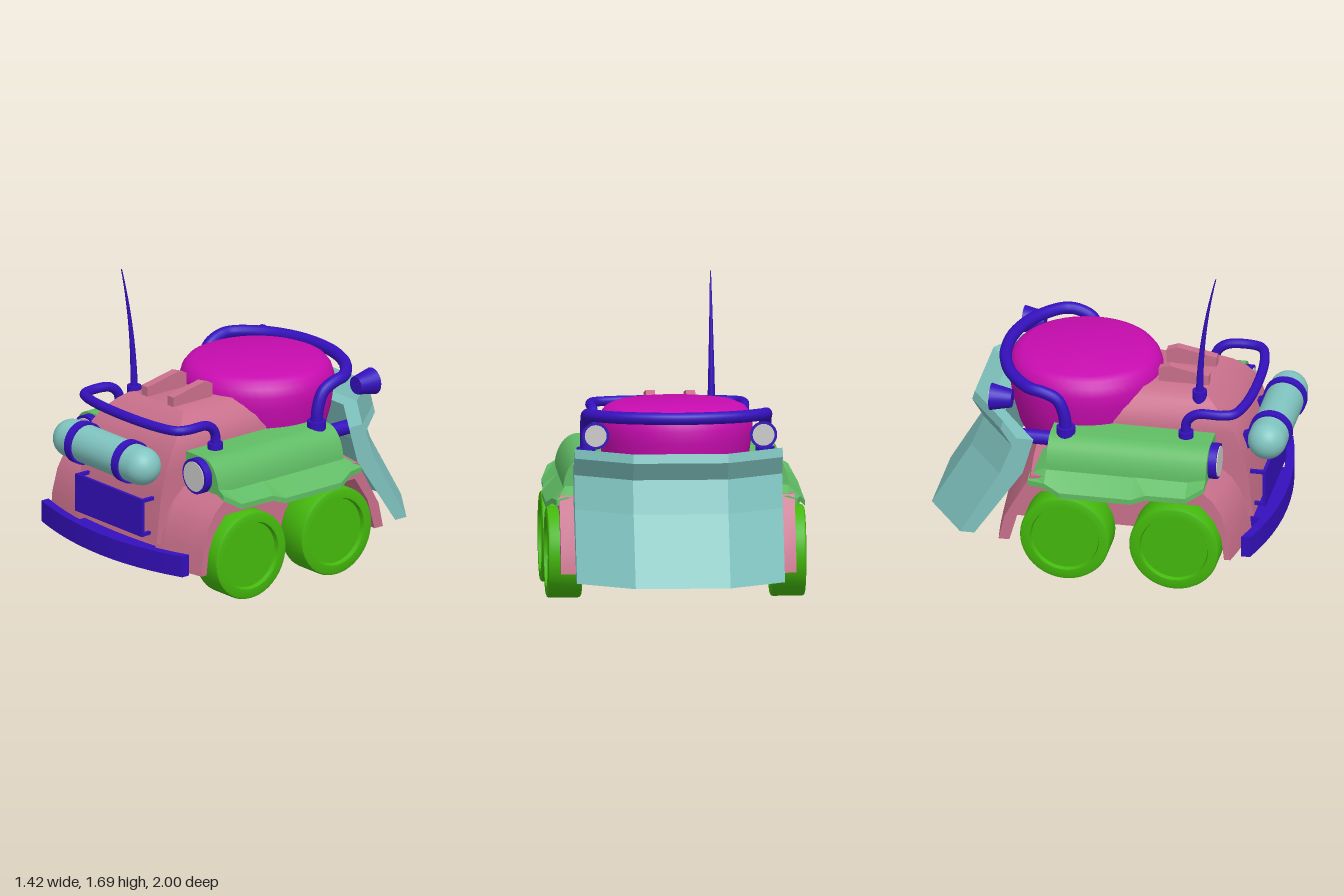
import * as THREE from 'three';
import { toCreasedNormals } from 'three/addons/utils/BufferGeometryUtils.js';

const V = (x, y, z) => new THREE.Vector3(x, y, z);
const mat = (color) => new THREE.MeshStandardMaterial({ color });
const pink = mat(0xc9708c), magenta = mat(0xc80cb0), navy = mat(0x3410bc), green = mat(0x60bc64),
  lime = mat(0x44b80c), cyan = mat(0x80c4c0), grey = mat(0xcccccc);

// moves every vertex by a rule
function warp(geo, rule) {
  const p = geo.attributes.position, v = V(0, 0, 0);
  for (let i = 0; i < p.count; i++) {
    v.fromBufferAttribute(p, i);
    rule(v);
    p.setXYZ(i, v.x, v.y, v.z);
  }
  geo.computeVertexNormals();
  return geo;
}

// side outline given as [z, y], extruded along x between x0 and x1
function sideExtrude(outline, x0, x1, steps = 1) {
  const shape = new THREE.Shape(outline.map(([z, y]) => new THREE.Vector2(z, y)));
  const geo = new THREE.ExtrudeGeometry(shape, { depth: x1 - x0, steps, bevelEnabled: false });
  return geo.rotateY(-Math.PI / 2).translate(x1, 0, 0);
}

// the body's nose and tail curve back towards the sides
function bend(v) {
  const t = (v.x / 0.64) ** 2;
  if (v.z > 0.55) v.z -= 0.065 * t;
  if (v.z < -0.35) v.z += 0.05 * t;
}

export function createModel() {
  const model = new THREE.Group();
  const add = (name, geo, material, x = 0, y = 0, z = 0) => {
    const mesh = new THREE.Mesh(geo, material);
    mesh.name = name;
    mesh.position.set(x, y, z);
    model.add(mesh);
    return mesh;
  };
  const crease = (geo, angle = 0.6) => toCreasedNormals(geo, angle);
  const box = (w, h, d) => new THREE.BoxGeometry(w, h, d);
  const cyl = (r0, r1, h, n = 32) => new THREE.CylinderGeometry(r0, r1, h, n);

  // lower hull: nose curves back to the side pods
  const nose = [[0.81, 0.18], [0.795, 0.33], [0.76, 0.45], [0.71, 0.53], [0.64, 0.59]];
  const tail = [[-0.42, 0.59], [-0.47, 0.5], [-0.57, 0.32], [-0.6, 0.18]];
  add('hull', crease(warp(sideExtrude([...nose, ...tail], -0.36, 0.36, 8), bend)), pink);

  // hood: a box whose rows follow [y, half width, front z]
  const rows = [[0.3, 0.34, 0.812], [0.56, 0.34, 0.78], [0.68, 0.34, 0.75], [0.81, 0.34, 0.705],
    [0.88, 0.315, 0.64], [0.935, 0.27, 0.575], [0.975, 0.22, 0.52]];
  const hood = warp(new THREE.BoxGeometry(2, 6, 2, 1, 6, 1), (v) => {
    const [y, w, front] = rows[Math.round(v.y + 3)];
    v.set(v.x * w, y, v.z > 0 ? front : -0.15);
  });
  add('hood', crease(hood, 0.75), pink);

  // dome
  const domeProfile = [[0, 0.53], [0.3, 0.53], [0.365, 0.65], [0.405, 0.8], [0.42, 0.9], [0.425, 0.97],
    [0.41, 1.02], [0.385, 1.052], [0.345, 1.07], [0, 1.072]].map(([r, y]) => new THREE.Vector2(r, y));
  add('dome', crease(new THREE.LatheGeometry(domeProfile, 48), 0.9), magenta, 0, 0, -0.19);

  // grille plate
  add('grillePlate', box(0.57, 0.215, 0.018), navy, 0, 0.447, 0.86);
  // bowed bumper
  const bumper = warp(new THREE.BoxGeometry(1.2, 0.12, 0.05, 12, 1, 1), (v) => {
    const t = (v.x / 0.6) ** 2;
    v.z += 0.905 - 0.085 * t;
    v.y += 0.235 + 0.012 * t;
  });
  add('bumper', crease(bumper), navy);
  add('bumperMount', box(0.6, 0.08, 0.12), navy, 0, 0.235, 0.84);

  // tank
  add('tank', new THREE.CapsuleGeometry(0.107, 0.59, 12, 32).rotateZ(Math.PI / 2), cyan, 0, 0.76, 0.88);

  // antenna: a tapered, curved whip
  const whip = new THREE.CylinderGeometry(0.003, 0.022, 0.74, 12, 14).translate(0, 0.37, 0);
  add('antenna', warp(whip, (v) => { v.z += 0.09 * (v.y / 0.74) ** 2; }), navy, -0.235, 0.95, 0.49);
  add('antennaBase', cyl(0.04, 0.04, 0.07, 20), navy, -0.235, 0.96, 0.49);

  // front and rear bars: half a path, mirrored into a full one
  const bar = (name, half, radius) => {
    const path = [...half, ...half.slice(0, -1).reverse().map((p) => V(-p.x, p.y, p.z))];
    add(name, new THREE.TubeGeometry(new THREE.CatmullRomCurve3(path), 90, radius, 14), navy);
  };
  bar('frontBar', [V(0.41, 0.78, 0.45), V(0.41, 0.89, 0.455), V(0.415, 0.94, 0.51), V(0.42, 0.95, 0.65),
    V(0.395, 0.95, 0.71), V(0.28, 0.95, 0.75), V(0, 0.95, 0.77)], 0.027);
  bar('rollBar', [V(0.49, 0.78, -0.205), V(0.49, 0.9, -0.215), V(0.49, 0.99, -0.255), V(0.49, 1.03, -0.34),
    V(0.475, 1.037, -0.41), V(0.34, 1.042, -0.535), V(0.17, 1.045, -0.605), V(0, 1.045, -0.625)], 0.034);

  // rear shield: thick bent plate, middle facet pushed back
  const shield = warp(sideExtrude([[-0.37, 0.77], [-0.465, 0.77], [-0.54, 0.87], [-0.555, 0.82], [-0.49, 0.72],
    [-0.56, 0.54], [-0.78, 0.16], [-0.7, 0.16], [-0.43, 0.56]], -0.57, 0.57, 3), (v) => {
    if (Math.abs(v.x) < 0.4) {
      v.x = Math.sign(v.x) * 0.26;
      v.z -= 0.22;
    }
  });
  add('shield', crease(shield, 0.1), cyan);

  // skirt stations: [z, outer x, outer bottom y, top y]
  const stations = [[-0.385, 0.66, 0.535, 0.58], [-0.29, 0.68, 0.535, 0.63], [-0.2, 0.71, 0.5, 0.63],
    [0.2, 0.71, 0.5, 0.63], [0.28, 0.7, 0.53, 0.63], [0.5, 0.695, 0.53, 0.63], [0.6, 0.66, 0.59, 0.65]];
  const wheelProfile = [[0, -0.07], [0.185, -0.07], [0.192, -0.095], [0.235, -0.095], [0.246, -0.09], [0.25, -0.08],
    [0.25, 0.08], [0.246, 0.09], [0.235, 0.095], [0.192, 0.095], [0.185, 0.07], [0, 0.07]]
    .map(([r, y]) => new THREE.Vector2(r, y));
  const wheelGeo = crease(new THREE.LatheGeometry(wheelProfile, 48).rotateZ(-Math.PI / 2), 0.7);

  for (const s of [1, -1]) {
    const side = s > 0 ? 'left' : 'right';

    // fender with wheel opening
    const fender = sideExtrude([...nose, ...tail, [-0.54, 0.18], [-0.49, 0.36], [-0.4, 0.5], [0.64, 0.5],
      [0.72, 0.41], [0.76, 0.31], [0.775, 0.18]], s > 0 ? 0.36 : -0.645, s > 0 ? 0.645 : -0.36, 4);
    add(side + 'Fender', crease(warp(fender, bend)), pink);

    // wheels and axles
    for (const [end, z] of [['Front', 0.44], ['Rear', -0.17]]) {
      add(side + end + 'Wheel', wheelGeo, lime, s * 0.613, 0.25, z);
      add(side + end + 'Axle', cyl(0.07, 0.07, 0.22, 20).rotateZ(Math.PI / 2), pink, s * 0.45, 0.25, z);
    }

    // side pod
    const pod = new THREE.Shape();
    pod.moveTo(s * 0.32, 0.61);
    pod.lineTo(s * 0.32, 0.795);
    pod.lineTo(s * 0.49, 0.795);
    pod.bezierCurveTo(s * 0.56, 0.795, s * 0.615, 0.72, s * 0.62, 0.61);
    const podGeo = new THREE.ExtrudeGeometry(pod, { depth: 0.89, bevelEnabled: false, curveSegments: 10 });
    add(side + 'Pod', crease(podGeo.translate(0, 0, -0.29)), green);

    // flared skirt below the pod
    const skirt = warp(new THREE.BoxGeometry(2, 1, 6, 2, 1, 6), (v) => {
      const [z, xo, yo, top] = stations[Math.round(v.z + 3)];
      const col = Math.round(s * v.x + 1), up = v.y > 0;
      const y = col === 2 ? (up ? yo + 0.03 : yo) : (up ? top : top - 0.04);
      v.set(s * [0.33, 0.61, xo][col], y, z);
    });
    add(side + 'Skirt', crease(skirt, 0.2), green);

    // headlight
    add(side + 'Headlight', cyl(0.1, 0.1, 0.07).rotateX(Math.PI / 2), navy, s * 0.463, 0.69, 0.61);
    add(side + 'HeadlightLens', cyl(0.085, 0.085, 0.01).rotateX(Math.PI / 2), grey, s * 0.463, 0.69, 0.645);

    // rear lamp under the roll bar
    add(side + 'RearLamp', cyl(0.05, 0.075, 0.12, 24).rotateX(Math.PI / 2), navy, s * 0.46, 0.955, -0.57);
    add(side + 'RearLampLens', cyl(0.06, 0.06, 0.01, 24).rotateX(Math.PI / 2), grey, s * 0.46, 0.955, -0.63);

    // bar feet
    add(side + 'FrontBarFoot', cyl(0.042, 0.042, 0.05, 20), navy, s * 0.41, 0.805, 0.45);
    add(side + 'RollBarFoot', cyl(0.052, 0.052, 0.05, 20), navy, s * 0.49, 0.805, -0.205);

    // arm carrying the shield
    add(side + 'ShieldArm', cyl(0.04, 0.04, 0.24, 16).rotateX(Math.PI / 2), navy, s * 0.42, 0.71, -0.39);

    // tank strap and mount
    add(side + 'TankStrap', cyl(0.12, 0.12, 0.05, 40).rotateZ(Math.PI / 2), navy, s * 0.2, 0.76, 0.88);
    add(side + 'TankMount', box(0.05, 0.09, 0.14), navy, s * 0.2, 0.71, 0.77).rotation.x = -0.4;

    // grille brackets
    for (const y of [0.35, 0.545]) add(side + 'GrilleBracket', box(0.02, 0.018, 0.1), navy, s * 0.275, y, 0.815);

    // hood rib
    const rib = sideExtrude([[0.52, 0.95], [0.52, 1.03], [0.3, 1.072], [0.24, 1.05], [0.24, 0.95]],
      s * 0.11 - 0.025, s * 0.11 + 0.025);
    add(side + 'HoodRib', rib, pink);
  }
  return model;
}
